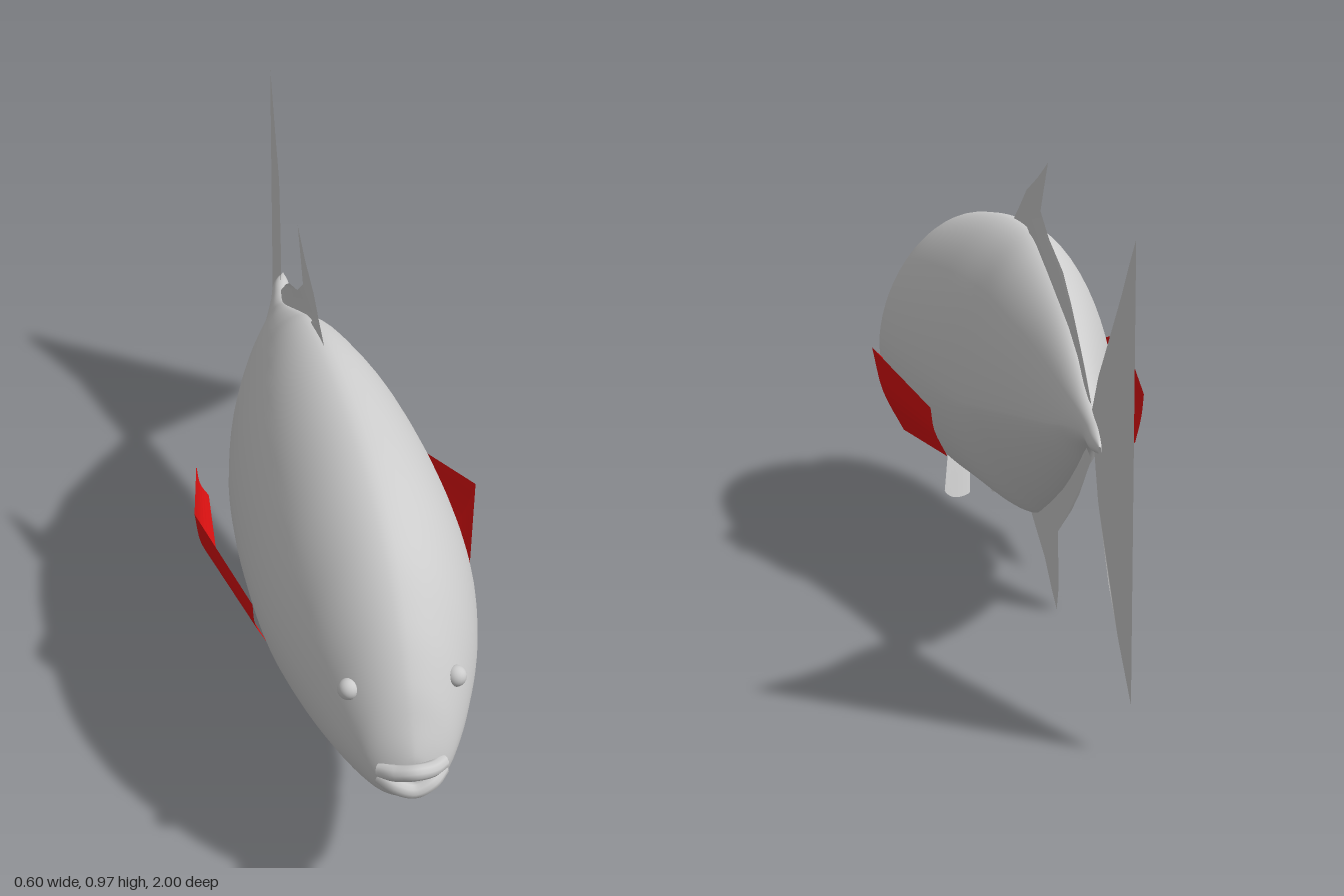
import * as THREE from 'three';

const grey = new THREE.MeshStandardMaterial({ color: 0xcccccc });
const greyFin = new THREE.MeshStandardMaterial({ color: 0xcccccc, side: THREE.DoubleSide });
const redFin = new THREE.MeshStandardMaterial({ color: 0xdd1111, side: THREE.DoubleSide });

// Body stations, nose to tail: z, top, bottom, half width, centre x
const STATIONS = [
  [0.968, 0.355, 0.325, 0.006, 0.012],
  [0.963, 0.388, 0.298, 0.036, 0.012],
  [0.94, 0.44, 0.27, 0.074, 0.012],
  [0.90, 0.515, 0.253, 0.105, 0.012],
  [0.83, 0.605, 0.237, 0.142, 0.012],
  [0.72, 0.697, 0.222, 0.184, 0.012],
  [0.56, 0.762, 0.207, 0.217, 0.011],
  [0.36, 0.797, 0.197, 0.222, 0.007],
  [0.16, 0.812, 0.180, 0.207, 0.0],
  [0.01, 0.798, 0.163, 0.178, -0.008],
  [-0.10, 0.755, 0.210, 0.153, -0.009],
  [-0.25, 0.685, 0.290, 0.110, -0.003],
  [-0.40, 0.612, 0.375, 0.068, 0.013],
  [-0.50, 0.565, 0.440, 0.042, 0.025],
  [-0.60, 0.540, 0.480, 0.025, 0.040],
  [-0.68, 0.530, 0.485, 0.020, 0.055],
  [-0.74, 0.511, 0.497, 0.003, 0.070],
];

// Sideways bend of the spine at a given z
function bend(z) {
  const pts = [...STATIONS, [-1, 0, 0, 0, 0.088]];
  for (let i = 0; i < pts.length - 1; i++) {
    const [a, b] = [pts[i], pts[i + 1]];
    if (z >= b[0]) return THREE.MathUtils.mapLinear(Math.min(z, a[0]), a[0], b[0], a[4], b[4]);
  }
  return 0.088;
}

function gridGeometry(positions, rows, cols, closed) {
  const index = [];
  const span = closed ? cols : cols - 1;
  for (let i = 0; i < rows - 1; i++) {
    for (let j = 0; j < span; j++) {
      const a = i * cols + j, b = i * cols + (j + 1) % cols;
      index.push(a, a + cols, b, b, a + cols, b + cols);
    }
  }
  const geo = new THREE.BufferGeometry();
  geo.setAttribute('position', new THREE.Float32BufferAttribute(positions, 3));
  geo.setIndex(index);
  geo.computeVertexNormals();
  return geo;
}

// Egg-shaped sections, narrowing to a crest above and a keel behind
function bodyGeometry() {
  const outline = new THREE.CatmullRomCurve3(STATIONS.map(s => new THREE.Vector3(s[0], s[1], s[2])), false, 'catmullrom');
  const width = new THREE.CatmullRomCurve3(STATIONS.map(s => new THREE.Vector3(s[3], s[4], 0)), false, 'catmullrom');
  const rows = 97, cols = 64, pos = [];
  for (let i = 0; i < rows; i++) {
    const { x: z, y: top, z: bottom } = outline.getPoint(i / (rows - 1));
    const { x: w, y: cx } = width.getPoint(i / (rows - 1));
    const mid = THREE.MathUtils.lerp(bottom, top, 0.43);
    const rear = THREE.MathUtils.smoothstep(-z, -0.3, 0.1);
    const peduncle = THREE.MathUtils.smoothstep(-z, 0.45, 0.6);
    const upper = 1.75 + 0.25 * peduncle;
    const lower = 2 - 0.55 * rear + 0.55 * peduncle;
    for (let j = 0; j < cols; j++) {
      const a = j / cols * Math.PI * 2, c = Math.cos(a), s = Math.sin(a);
      const p = 2 / (s >= 0 ? upper : lower);
      pos.push(
        cx + w * Math.sign(c) * Math.abs(c) ** p,
        mid + (s >= 0 ? top - mid : mid - bottom) * Math.sign(s) * Math.abs(s) ** p,
        z);
    }
  }
  return gridGeometry(pos, rows, cols, true);
}

// Thin upright fin from a (z, y) outline, following the bent spine
function uprightFin(name, outline) {
  const geo = new THREE.ShapeGeometry(new THREE.Shape(outline.map(p => new THREE.Vector2(...p))));
  const p = geo.attributes.position;
  for (let i = 0; i < p.count; i++) {
    const z = p.getX(i);
    p.setXYZ(i, bend(z), p.getY(i), z);
  }
  geo.computeVertexNormals();
  return named(name, geo, greyFin);
}

function named(name, geo, material) {
  const mesh = new THREE.Mesh(geo, material);
  mesh.name = name;
  return mesh;
}

// Side fin panel: columns of top, middle and bottom points
function pectoralFin(side) {
  const columns = [
    [[0.225, 0.43, 0.50], [0.218, 0.37, 0.49], [0.19, 0.31, 0.48]],
    [[0.302, 0.507, 0.27], [0.285, 0.41, 0.24], [0.245, 0.323, 0.21]],
    [[0.245, 0.43, -0.03], [0.238, 0.38, -0.035], [0.215, 0.326, -0.06]],
  ];
  const pos = [];
  for (const col of columns) {
    const curve = new THREE.CatmullRomCurve3(col.map(p => new THREE.Vector3(...p)));
    for (const p of curve.getPoints(8)) pos.push(side * p.x + bend(p.z), p.y, p.z);
  }
  let geo = gridGeometry(pos, 3, 9, false).toNonIndexed();
  geo.computeVertexNormals();
  return named(side > 0 ? 'leftPectoralFin' : 'rightPectoralFin', geo, redFin);
}

// Splayed fan under the belly, base edge to free edge
function pelvicFin(side) {
  const base = new THREE.LineCurve3(new THREE.Vector3(0.005, 0.205, 0.52), new THREE.Vector3(0.09, 0.222, 0.40));
  const edge = new THREE.QuadraticBezierCurve3(
    new THREE.Vector3(0.028, 0.092, 0.44), new THREE.Vector3(0.09, 0.095, 0.36), new THREE.Vector3(0.128, 0.149, 0.278));
  const pos = [];
  for (const curve of [base, edge]) {
    for (const p of curve.getPoints(8)) pos.push(side * p.x + 0.008, p.y, p.z);
  }
  return named(side > 0 ? 'leftPelvicFin' : 'rightPelvicFin', gridGeometry(pos, 2, 9, false), greyFin);
}

function lip(name, y, cornerY, front, radius) {
  const path = new THREE.CatmullRomCurve3([
    [-0.06, cornerY, 0.945], [-0.034, (y + cornerY) / 2, 0.97], [0, y, front],
    [0.034, (y + cornerY) / 2, 0.97], [0.06, cornerY, 0.945],
  ].map(([x, py, z]) => new THREE.Vector3(x + 0.012, py, z)));
  return named(name, new THREE.TubeGeometry(path, 24, radius, 10), grey);
}

export function createModel() {
  const fish = new THREE.Group();
  fish.name = 'fish';
  fish.add(named('body', bodyGeometry(), grey));

  fish.add(lip('upperLip', 0.365, 0.35, 0.983, 0.016));
  fish.add(lip('lowerLip', 0.316, 0.336, 0.977, 0.016));

  // Paired parts
  for (const side of [1, -1]) {
    const eye = named(side > 0 ? 'leftEye' : 'rightEye', new THREE.SphereGeometry(0.021, 20, 14), grey);
    eye.position.set(0.012 + side * 0.104, 0.48, 0.857);
    fish.add(eye, pectoralFin(side), pelvicFin(side));
  }

  // Spike at the front, then a low strip along the back
  fish.add(uprightFin('dorsalFin', [
    [0.16, 0.805], [0.11, 0.845], [0.06, 0.888], [-0.02, 0.925], [-0.10, 0.967], [-0.07, 0.91], [-0.043, 0.855],
    [-0.11, 0.805], [-0.235, 0.755], [-0.33, 0.702], [-0.42, 0.645], [-0.50, 0.597], [-0.575, 0.551],
    [-0.49, 0.555], [-0.40, 0.59], [-0.25, 0.66], [-0.10, 0.73], [0.0, 0.77],
  ]));
  fish.add(uprightFin('analFin', [
    [0.04, 0.175], [0.02, 0.153], [-0.08, 0.085], [-0.15, 0.025], [-0.19, 0.0], [-0.205, 0.05], [-0.2, 0.18],
    [-0.34, 0.267], [-0.43, 0.328], [-0.5, 0.385], [-0.578, 0.442], [-0.49, 0.452],
    [-0.40, 0.395], [-0.25, 0.31], [-0.10, 0.23],
  ]));
  fish.add(uprightFin('tailFin', [
    [-0.58, 0.54], [-0.68, 0.632], [-0.81, 0.733], [-0.90, 0.83], [-0.95, 0.89], [-1, 0.946],
    [-1, 0.096], [-0.90, 0.185], [-0.82, 0.267], [-0.70, 0.393], [-0.60, 0.495],
  ]));
  return fish;
}
